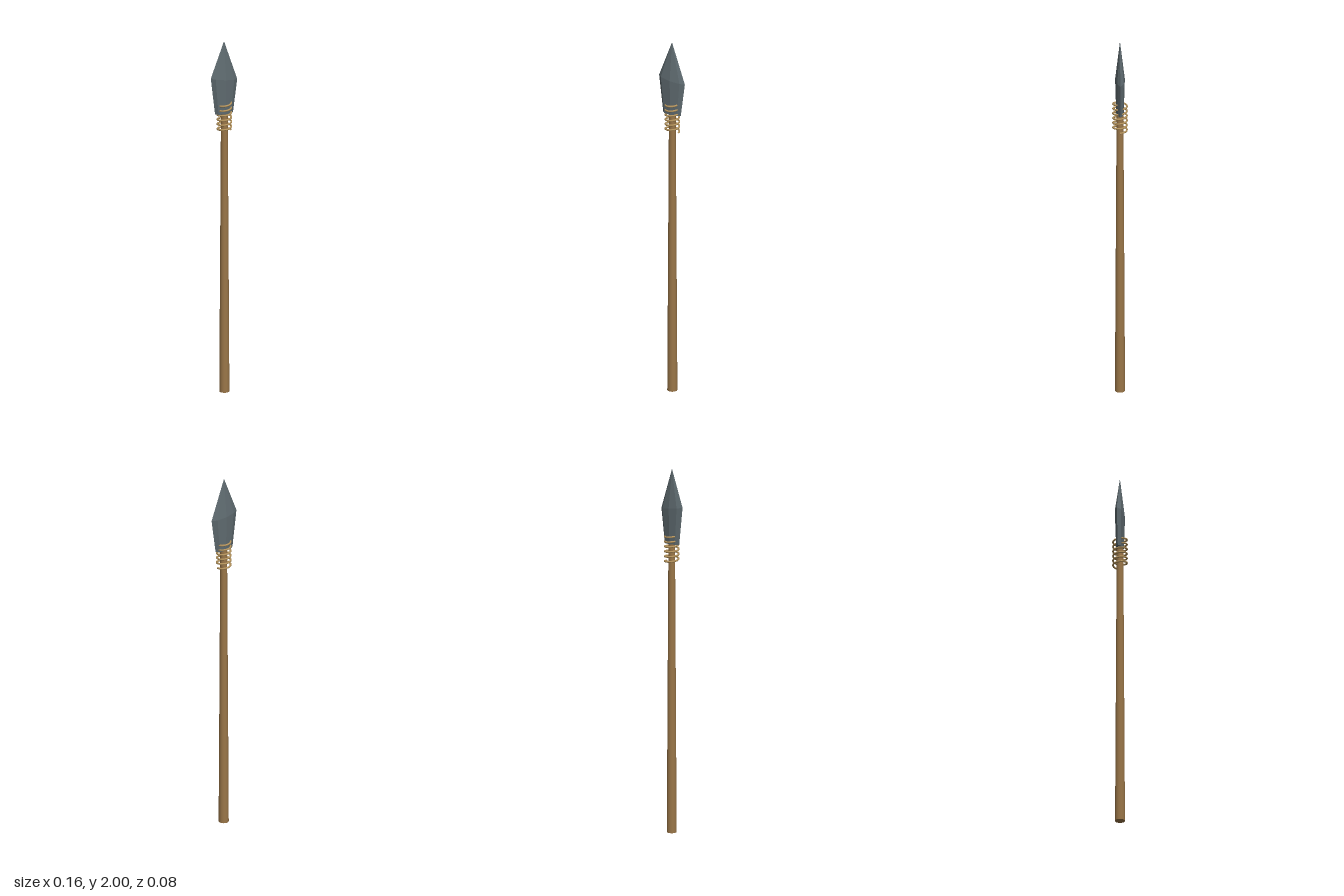
import * as THREE from 'three';

const mat = (color, extra = {}) => new THREE.MeshStandardMaterial({ color, ...extra });

function part(name, geometry, material) {
  const mesh = new THREE.Mesh(geometry, material);
  mesh.name = name;
  return mesh;
}

// Knapped stone point: uneven lens-shaped rings joined up to a single tip
function spearheadGeometry() {
  // unit outline, running from +x over the front to -x and round the back
  const outline = [[1, 0], [0.68, 0.6], [0, 1], [-0.74, 0.72], [-1, 0], [-0.64, -0.66], [0, -1], [0.66, -0.74]];
  // height, half width, half thickness, tilt of the ring across x
  const rings = [[1.588, 0.053, 0.02, -0.003], [1.785, 0.078, 0.026, -0.014]];
  const n = outline.length;
  const pos = [];
  const index = [];
  for (const [y, w, t, tilt] of rings) {
    for (const [x, z] of outline) pos.push(x * w, y + x * tilt, z * t);
  }
  const tip = n * rings.length;
  pos.push(0, 2, 0, 0, rings[0][0], 0);
  for (let i = 0; i < n; i++) {
    const j = (i + 1) % n;
    index.push(i, n + i, j, j, n + i, n + j); // lower flanks
    index.push(n + i, tip, n + j);            // flanks up to the tip
    index.push(i, j, tip + 1);                // base
  }
  const g = new THREE.BufferGeometry();
  g.setAttribute('position', new THREE.Float32BufferAttribute(pos, 3));
  g.setIndex(index);
  g.computeVertexNormals();
  return g;
}

// Cord wound in a loose coil around the joint
class Coil extends THREE.Curve {
  constructor(radius, bottom, top, turns) {
    super();
    Object.assign(this, { radius, bottom, top, turns });
  }
  getPoint(t, target = new THREE.Vector3()) {
    const a = -t * this.turns * Math.PI * 2;
    return target.set(
      Math.cos(a) * this.radius,
      THREE.MathUtils.lerp(this.bottom, this.top, t),
      Math.sin(a) * this.radius
    );
  }
}

export function createModel() {
  const group = new THREE.Group();
  group.name = 'spear';

  // Tapered wooden shaft
  const length = 1.62;
  const shaft = part('shaft', new THREE.CylinderGeometry(0.018, 0.027, length, 12), mat(0x9b7749));
  shaft.position.set(0.002, length / 2, 0);

  const head = part('spearhead', spearheadGeometry(), mat(0x5f6b70, { flatShading: true }));

  // Cord binding
  const coil = new Coil(0.037, 1.488, 1.65, 6);
  const binding = part('binding', new THREE.TubeGeometry(coil, 144, 0.005, 8, false),
    mat(0xb4935c, { side: THREE.DoubleSide }));
  binding.position.x = 0.002;

  group.add(shaft, head, binding);
  return group;
}
